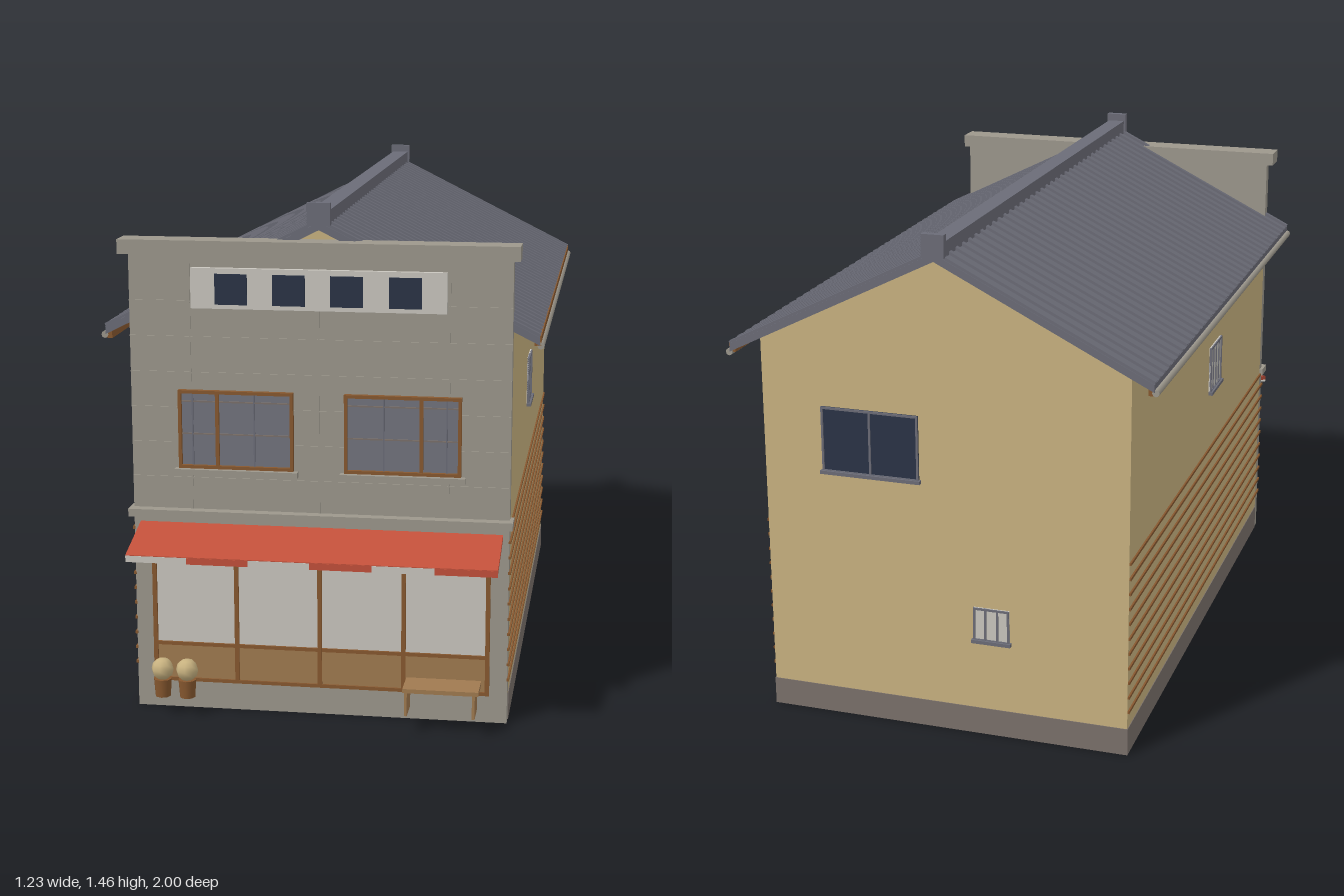
import * as THREE from 'three';

const mat = (name, color, extra = {}) => Object.assign(new THREE.MeshStandardMaterial({ color, ...extra }), { name });
const M = {
  cream: mat('cream plaster', 0xc8b280),
  stone: mat('grey facade', 0x9c978c),
  base: mat('foundation grey', 0x7a706a),
  slate: mat('roof slate', 0x6b6c77),
  brown: mat('dark wood', 0x87582f),
  wood: mat('light wood', 0xa07a50),
  pale: mat('pale glass', 0xc9c6be),
  navy: mat('dark glass', 0x2a3346),
  red: mat('awning red', 0xc2503a),
  glass: mat('grey glass', 0x72737d),
};

function add(parent, name, geo, material, x = 0, y = 0, z = 0) {
  const m = new THREE.Mesh(geo, material);
  m.name = name;
  m.position.set(x, y, z);
  parent.add(m);
  return m;
}

// box given by its limits
function box(parent, name, material, x0, x1, y0, y1, z0, z1) {
  return add(parent, name, new THREE.BoxGeometry(x1 - x0, y1 - y0, z1 - z0), material,
    (x0 + x1) / 2, (y0 + y1) / 2, (z0 + z1) / 2);
}

// polygon in x/y, extruded along z
function prism(parent, name, material, pts, z0, z1) {
  const shape = new THREE.Shape(pts.map(([x, y]) => new THREE.Vector2(x, y)));
  const geo = new THREE.ExtrudeGeometry(shape, { depth: z1 - z0, bevelEnabled: false });
  return add(parent, name, geo, material, 0, 0, z0);
}

function group(parent, name) {
  const g = new THREE.Group();
  g.name = name;
  parent.add(g);
  return g;
}

// rectangular border of four bars
function frame(g, material, x0, x1, y0, y1, t, z0, z1) {
  box(g, 'frameLeft', material, x0, x0 + t, y0, y1, z0, z1);
  box(g, 'frameRight', material, x1 - t, x1, y0, y1, z0, z1);
  box(g, 'frameBottom', material, x0 + t, x1 - t, y0, y0 + t, z0, z1);
  box(g, 'frameTop', material, x0 + t, x1 - t, y1 - t, y1, z0, z1);
}

// small barred window, facing +z, centred on its own origin
function smallWindow(parent, name, w, h, glass, bars) {
  const g = group(parent, name);
  box(g, 'pane', glass, -w / 2, w / 2, -h / 2, h / 2, -0.002, 0.003);
  frame(g, M.slate, -w / 2, w / 2, -h / 2, h / 2, 0.006, 0, 0.007);
  for (let i = 1; i <= bars; i++) {
    const x = -w / 2 + (w * i) / (bars + 1);
    box(g, 'bar', M.slate, x - 0.003, x + 0.003, -h / 2, h / 2, 0, 0.006);
  }
  box(g, 'sill', M.slate, -w / 2 - 0.005, w / 2 + 0.005, -h / 2 - 0.006, -h / 2 + 0.004, 0, 0.013);
  return g;
}

function buildBody(root) {
  const g = group(root, 'body');
  prism(g, 'walls', M.cream, [[-0.53, 0.001], [0.53, 0.001], [0.53, 1.12], [0, 1.385], [-0.53, 1.12]], -0.947, 0.79);
  box(g, 'foundation', M.base, -0.532, 0.532, 0, 0.08, -0.949, 0.79);
  // horizontal battens on both long walls
  for (const s of [-1, 1]) {
    for (let i = 0; i < 11; i++) {
      add(g, 'batten', new THREE.BoxGeometry(0.007, 0.008, 1.77), M.brown, s * 0.5315, 0.13 + i * 0.0444, -0.06);
    }
    const win = smallWindow(g, 'sideWindow', 0.145, 0.145, M.pale, 3);
    win.position.set(s * 0.531, 0.838, 0.048);
    win.rotation.y = s * Math.PI / 2;
  }
  const backWindow = smallWindow(g, 'backWindow', 0.285, 0.19, M.navy, 1);
  backWindow.position.set(0.212, 0.84, -0.948);
  backWindow.rotation.y = Math.PI;
  const lowWindow = smallWindow(g, 'lowBackWindow', 0.105, 0.1, M.pale, 2);
  lowWindow.position.set(-0.137, 0.34, -0.948);
  lowWindow.rotation.y = Math.PI;
}

function buildRoof(root) {
  const g = group(root, 'roof');
  const top = 1.405, e = 0.602, t = 0.022;
  const y = top - e / 2;
  prism(g, 'roofSlab', M.slate, [[0, top], [-e, y], [-e, y - t], [0, top - t], [e, y - t], [e, y]], -0.992, 0.815);
  // ribs running down each slope
  const rib = new THREE.BoxGeometry(e * Math.hypot(1, 0.5), 0.012, 0.016);
  for (const s of [-1, 1]) {
    for (let i = 0; i < 37; i++) {
      add(g, 'rib', rib, M.slate, s * e / 2, top - e / 4 + 0.002, -0.982 + i * 0.0496)
        .rotation.z = -s * Math.atan(0.5);
    }
    const gutter = add(g, 'gutter', new THREE.CylinderGeometry(0.01, 0.01, 1.8, 8), M.stone, s * 0.605, 1.08, -0.09);
    gutter.rotation.x = Math.PI / 2;
  }
  box(g, 'fasciaLeft', M.brown, 0.588, 0.606, 1.08, 1.107, -0.985, 0.81);
  box(g, 'fasciaRight', M.brown, -0.598, -0.584, 1.07, 1.1, -0.985, 0.81);
  // ridge beam with raised ends
  box(g, 'ridge', M.slate, -0.026, 0.026, 1.385, 1.435, -0.985, 0.81);
  box(g, 'ridgeEndFront', M.slate, -0.032, 0.032, 1.395, 1.458, 0.8, 0.82);
  box(g, 'ridgeEndBack', M.slate, -0.032, 0.032, 1.395, 1.458, -0.998, -0.978);
}

function buildFacade(root) {
  const g = group(root, 'facade');
  box(g, 'facadeWall', M.stone, -0.53, 0.53, 0, 1.32, 0.788, 0.823);
  box(g, 'parapetCap', M.stone, -0.55, 0.55, 1.315, 1.355, 0.788, 0.866);
  box(g, 'beltCourse', M.stone, -0.54, 0.54, 0.57, 0.592, 0.79, 0.853);
  // shallow panel joints
  for (let i = 0; i < 6; i++) box(g, 'joint', M.stone, -0.53, 0.53, 0.68 + i * 0.1, 0.684 + i * 0.1, 0.82, 0.826);
  for (const x of [-0.36, 0, 0.36]) box(g, 'joint', M.stone, x - 0.002, x + 0.002, 0.59, 1.315, 0.82, 0.826);

  // attic strip with four square windows
  box(g, 'atticPanel', M.pale, -0.353, 0.353, 1.165, 1.277, 0.82, 0.839);
  for (const x of [-0.24, -0.08, 0.08, 0.24]) {
    box(g, 'atticWindow', M.navy, x - 0.045, x + 0.045, 1.177, 1.262, 0.836, 0.842);
  }

  // mirrored upper windows
  for (const s of [-1, 1]) {
    const w = group(g, 'upperWindow');
    box(w, 'pane', M.glass, -0.16, 0.16, 0.715, 0.93, 0.82, 0.827);
    frame(w, M.brown, -0.162, 0.162, 0.712, 0.934, 0.009, 0.822, 0.838);
    box(w, 'post', M.brown, s * 0.052 - 0.005, s * 0.052 + 0.005, 0.715, 0.93, 0.822, 0.836);
    for (const x of [-0.052, 0.122]) box(w, 'bar', M.slate, s * x - 0.002, s * x + 0.002, 0.72, 0.925, 0.824, 0.832);
    for (const y of [0.81, 0.902]) box(w, 'rail', M.base, -0.153, 0.153, y - 0.002, y + 0.002, 0.824, 0.831);
    box(w, 'sill', M.stone, -0.174, 0.174, 0.694, 0.71, 0.82, 0.845);
    w.position.x = s * 0.233;
  }
}

function buildShopfront(root) {
  const g = group(root, 'shopfront');
  box(g, 'shopGlass', M.pale, -0.475, 0.475, 0.19, 0.52, 0.82, 0.826);
  box(g, 'lowerPanel', M.wood, -0.475, 0.475, 0.085, 0.19, 0.82, 0.827);
  for (const x of [-0.474, -0.238, 0, 0.238, 0.474]) {
    box(g, 'post', M.brown, x - 0.006, x + 0.006, 0.082, 0.52, 0.82, 0.834);
  }
  for (const y of [0.086, 0.193, 0.516]) box(g, 'rail', M.brown, -0.48, 0.48, y - 0.005, y + 0.005, 0.82, 0.832);

  // sloping awning with striped valance
  const a = group(root, 'awning');
  const slab = prism(a, 'awningCanopy', M.red, [[-0.82, 0.538], [-0.82, 0.551], [-0.999, 0.502], [-0.999, 0.489]].reverse(), -0.512, 0.512);
  slab.rotation.y = Math.PI / 2;
  slab.position.set(-0.512, 0, 0);
  const w = 1.024 / 6;
  for (let i = 0; i < 6; i++) {
    const x = -0.512 + i * w;
    box(a, 'valance', i % 2 ? M.red : M.pale, x, x + w, 0.482, 0.5, 0.993, 1);
  }
}

function buildStreetItems(root) {
  const b = group(root, 'bench');
  box(b, 'benchSeat', M.wood, 0.25, 0.46, 0.124, 0.136, 0.86, 0.953);
  for (const x of [0.258, 0.446]) box(b, 'benchLeg', M.wood, x - 0.004, x + 0.004, 0.055, 0.124, 0.865, 0.948);
  for (const x of [-0.443, -0.372]) {
    const p = group(root, 'planter');
    add(p, 'pot', new THREE.CylinderGeometry(0.026, 0.022, 0.052, 8), M.brown, x, 0.081, 0.885);
    add(p, 'shrub', new THREE.SphereGeometry(0.032, 8, 6), M.cream, x, 0.135, 0.885);
  }
}

export function createModel() {
  const root = new THREE.Group();
  root.name = 'shopHouse';
  buildBody(root);
  buildRoof(root);
  buildFacade(root);
  buildShopfront(root);
  buildStreetItems(root);
  return root;
}
